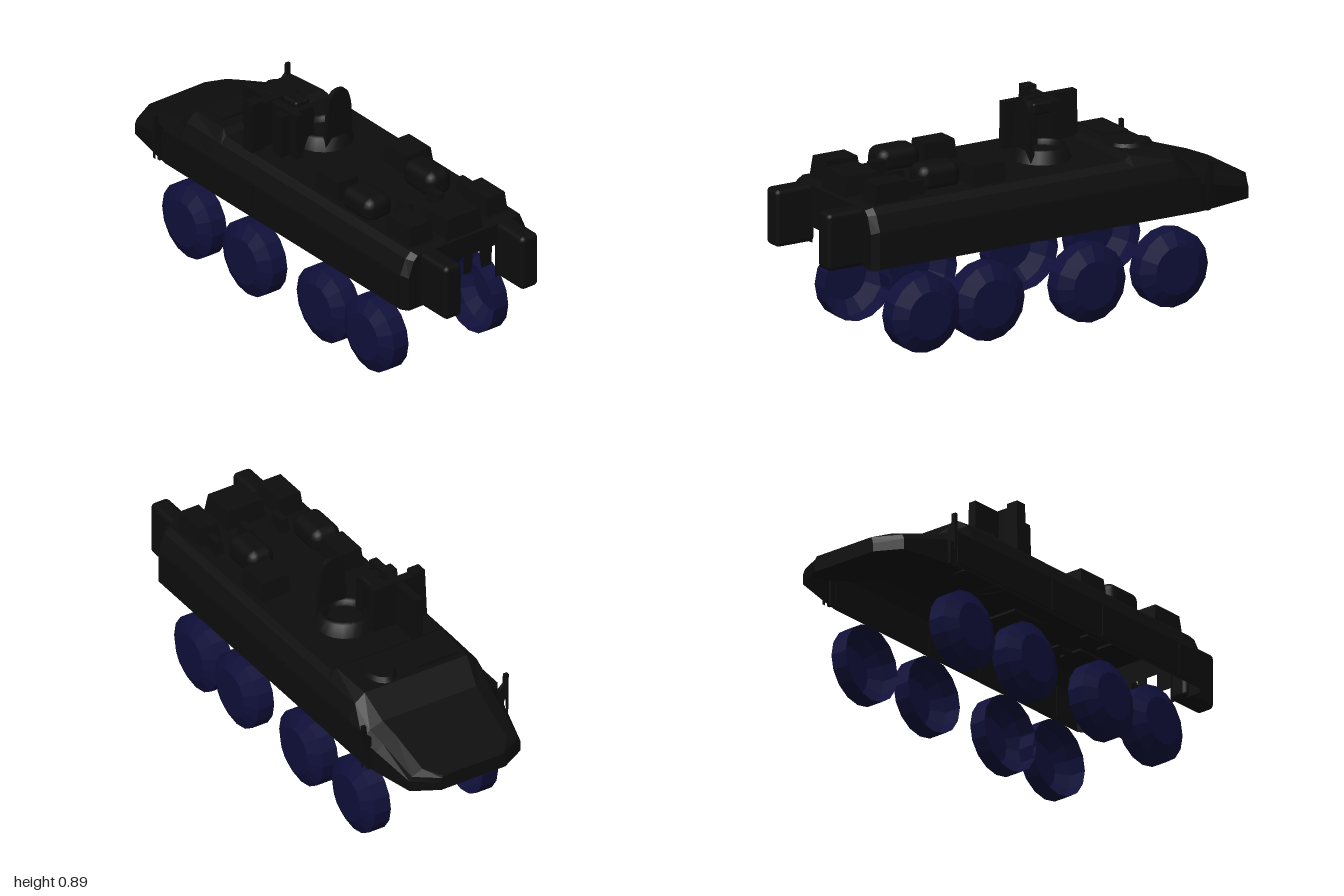
import * as THREE from 'three';
import { RoundedBoxGeometry } from 'three/addons/geometries/RoundedBoxGeometry.js';

const armour = new THREE.MeshStandardMaterial({ color: 0x0d0d0d, side: THREE.DoubleSide });
armour.name = 'black armour';
const tyre = new THREE.MeshStandardMaterial({ color: 0x0f0f3a, side: THREE.DoubleSide });
tyre.name = 'dark blue tyre';

function add(parent, name, geometry, material = armour, x = 0, y = 0, z = 0) {
  const mesh = new THREE.Mesh(geometry, material);
  mesh.name = name;
  mesh.position.set(x, y, z);
  parent.add(mesh);
  return mesh;
}

function flat(geometry) {
  const g = geometry.index ? geometry.toNonIndexed() : geometry;
  g.computeVertexNormals();
  return g;
}

// Box given by its limits, optionally rounded
function block(parent, name, [x0, x1], [y0, y1], [z0, z1], radius = 0) {
  const size = [x1 - x0, y1 - y0, z1 - z0];
  const g = radius ? new RoundedBoxGeometry(...size, 2, radius) : new THREE.BoxGeometry(...size);
  return add(parent, name, g, armour, (x0 + x1) / 2, (y0 + y1) / 2, (z0 + z1) / 2);
}

// Box whose top is smaller than its base
function bevelled(parent, name, xs, ys, zs, taper = 0.8) {
  const mesh = block(parent, name, xs, ys, zs);
  const p = mesh.geometry.attributes.position;
  for (let i = 0; i < p.count; i++) {
    if (p.getY(i) > 0) {
      p.setX(i, p.getX(i) * taper);
      p.setZ(i, p.getZ(i) * taper);
    }
  }
  mesh.geometry = flat(mesh.geometry);
  return mesh;
}

const BOTTOM = 0.385;

// Open-bottomed hull lofted along z: z, side x, side y, shoulder x, shoulder y, roof x, roof y
function hullGeometry() {
  const sections = [
    [0.84, 0.295, 0.53, 0.27, 0.6, 0.25, 0.62],
    [0.81, 0.315, 0.54, 0.288, 0.605, 0.262, 0.63],
    [-0.36, 0.315, 0.54, 0.288, 0.605, 0.262, 0.632],
    [-0.39, 0.315, 0.54, 0.288, 0.605, 0.25, 0.65],
    [-0.58, 0.315, 0.54, 0.285, 0.605, 0.24, 0.64],
    [-0.68, 0.315, 0.5, 0.28, 0.535, 0.22, 0.555],
    [-0.76, 0.3, 0.48, 0.27, 0.51, 0.21, 0.53],
    [-0.94, 0.26, 0.43, 0.25, 0.45, 0.2, 0.47],
    [-1.0, 0.15, 0.42, 0.145, 0.44, 0.14, 0.45],
  ];
  const points = [];
  const index = [];
  for (const [z, a, ay, b, by, c, cy] of sections) {
    points.push(a, BOTTOM, z, a, ay, z, b, by, z, c, cy, z);
    points.push(-c, cy, z, -b, by, z, -a, ay, z, -a, BOTTOM, z);
  }
  for (let s = 0; s < sections.length - 1; s++) {
    for (let k = 0; k < 7; k++) {
      const i = s * 8 + k;
      index.push(i, i + 8, i + 1, i + 1, i + 8, i + 9);
    }
  }
  // Nose plate
  const n = (sections.length - 1) * 8;
  for (let k = 1; k < 7; k++) index.push(n, n + k + 1, n + k);
  const g = new THREE.BufferGeometry();
  g.setAttribute('position', new THREE.Float32BufferAttribute(points, 3));
  g.setIndex(index);
  return flat(g);
}

// Rear wall with a notched lower edge between the pontoons
function rearWallGeometry() {
  const s = new THREE.Shape();
  const edge = [[-0.295, BOTTOM], [-0.14, BOTTOM], [-0.14, 0.45], [-0.07, 0.45], [-0.07, 0.53],
    [-0.02, 0.53], [-0.02, 0.45], [0.02, 0.45], [0.03, 0.53], [0.06, 0.53], [0.07, 0.45],
    [0.12, 0.45], [0.125, 0.53], [0.14, 0.53], [0.14, BOTTOM], [0.295, BOTTOM], [0.295, 0.53],
    [0.27, 0.6], [0.25, 0.62], [-0.25, 0.62], [-0.27, 0.6], [-0.295, 0.53]];
  s.setFromPoints(edge.map(([x, y]) => new THREE.Vector2(x, y)));
  return new THREE.ShapeGeometry(s);
}

export function createModel() {
  const model = new THREE.Group();
  model.name = 'armouredVehicle';

  const hull = new THREE.Group();
  hull.name = 'hull';
  model.add(hull);
  add(hull, 'hullShell', hullGeometry());
  add(hull, 'rearWall', rearWallGeometry(), armour, 0, 0, 0.84);

  for (const side of [-1, 1]) {
    const span = (a, b) => (side > 0 ? [a, b] : [-b, -a]);
    block(hull, 'rearPontoon', span(0.15, 0.235), [BOTTOM, 0.622], [0.82, 1], 0.02);
    // Side panels and the thin flap beside the nose
    for (const [z0, z1] of [[-0.68, -0.12], [-0.1, 0.18], [0.21, 0.66], [0.68, 0.8]]) {
      block(hull, 'sidePanel', span(0.312, 0.32), [0.4, 0.535], [z0, z1]);
    }
    const flap = new THREE.Shape();
    flap.setFromPoints([[0.3, BOTTOM], [0.318, BOTTOM], [0.322, 0.48], [0.336, 0.47], [0.34, 0.4],
      [0.343, 0.595], [0.325, 0.595], [0.322, 0.55], [0.3, 0.53]]
      .map(([x, y]) => new THREE.Vector2(x * side, y)));
    add(hull, 'sideFlap', new THREE.ExtrudeGeometry(flap, { depth: 0.015, bevelEnabled: false }),
      armour, 0, 0, -0.725);
  }

  // Stowage on the rear roof
  const stowage = new THREE.Group();
  stowage.name = 'roofStowage';
  model.add(stowage);
  for (const [x0, x1, z0, z1, top] of [
    [-0.245, -0.13, 0.62, 0.79, 0.712], [0.14, 0.245, 0.62, 0.79, 0.71],
    [-0.095, 0.09, 0.66, 0.83, 0.71], [-0.24, -0.13, 0.17, 0.33, 0.71],
    [0.1, 0.24, 0.17, 0.33, 0.71],
  ]) bevelled(stowage, 'stowageBox', [x0, x1], [0.62, top], [z0, z1], 0.86);
  for (const [x0, x1, top] of [[-0.25, -0.12, 0.715], [0.06, 0.18, 0.725]]) {
    block(stowage, 'roundedPack', [x0, x1], [0.61, top], [0.34, 0.53], 0.04);
  }
  for (const [x, z] of [[-0.1, 0.57], [0.05, 0.58], [0.2, 0.58]]) {
    bevelled(stowage, 'smallFitting', [x - 0.018, x + 0.018], [0.62, 0.69], [z - 0.045, z + 0.04]);
  }

  // Front roof hatches
  const oval = add(model, 'ovalHatch', new THREE.CylinderGeometry(0.055, 0.065, 0.02, 16),
    armour, 0.115, 0.652, -0.485);
  oval.scale.z = 1.45;
  bevelled(model, 'squareHatch', [-0.22, -0.02], [0.635, 0.657], [-0.56, -0.44], 0.94);

  // Commander's ring with its raised curved lid
  const cupola = new THREE.Group();
  cupola.name = 'cupola';
  cupola.position.set(0.035, 0, -0.115);
  model.add(cupola);
  const ring = [[0.07, 0.645], [0.075, 0.68], [0.1, 0.68], [0.125, 0.625]];
  add(cupola, 'hatchRing', new THREE.LatheGeometry(ring.map(([r, y]) => new THREE.Vector2(r, y)), 20));
  add(cupola, 'hatchCover', new THREE.CylinderGeometry(0.07, 0.075, 0.02, 20), armour, 0, 0.65, 0);
  const lid = new THREE.Shape();
  lid.moveTo(-0.066, 0.63);
  lid.lineTo(0.074, 0.63);
  lid.lineTo(0.065, 0.8);
  lid.quadraticCurveTo(0.055, 0.875, 0.03, 0.884);
  lid.quadraticCurveTo(0.005, 0.894, -0.02, 0.882);
  lid.quadraticCurveTo(-0.045, 0.87, -0.048, 0.81);
  add(cupola, 'raisedLid', new THREE.ExtrudeGeometry(lid, { depth: 0.02, bevelEnabled: false }),
    armour, 0, 0, 0.075);

  // Weapon mount: long spine with crossing supports
  const mount = new THREE.Group();
  mount.name = 'weaponMount';
  model.add(mount);
  bevelled(mount, 'spine', [-0.16, -0.125], [0.62, 0.825], [-0.385, -0.04], 0.98);
  bevelled(mount, 'sidePost', [-0.265, -0.2], [0.62, 0.845], [-0.25, -0.19], 0.8);
  bevelled(mount, 'rearCrossPiece', [-0.2, -0.03], [0.62, 0.81], [-0.14, -0.09], 0.95);
  bevelled(mount, 'frontCrossPiece', [-0.21, -0.02], [0.62, 0.83], [-0.24, -0.2], 0.97);
  block(mount, 'sight', [-0.1, -0.03], [0.78, 0.83], [-0.24, -0.12], 0.01);

  // Eight open-backed wheels
  const profile = [[0, 0.32], [0.1, 0.32], [0.16, 0.288], [0.16, 0.215]]
    .map(([r, x]) => new THREE.Vector2(r, x));
  const wheelGeometry = flat(new THREE.LatheGeometry(profile, 16));
  for (const side of [-1, 1]) {
    for (const z of [0.578, 0.28, -0.19, -0.573]) {
      const wheel = add(model, 'wheel', wheelGeometry, tyre, 0, 0.16, z);
      wheel.rotation.z = -side * Math.PI / 2;
    }
  }
  return model;
}
